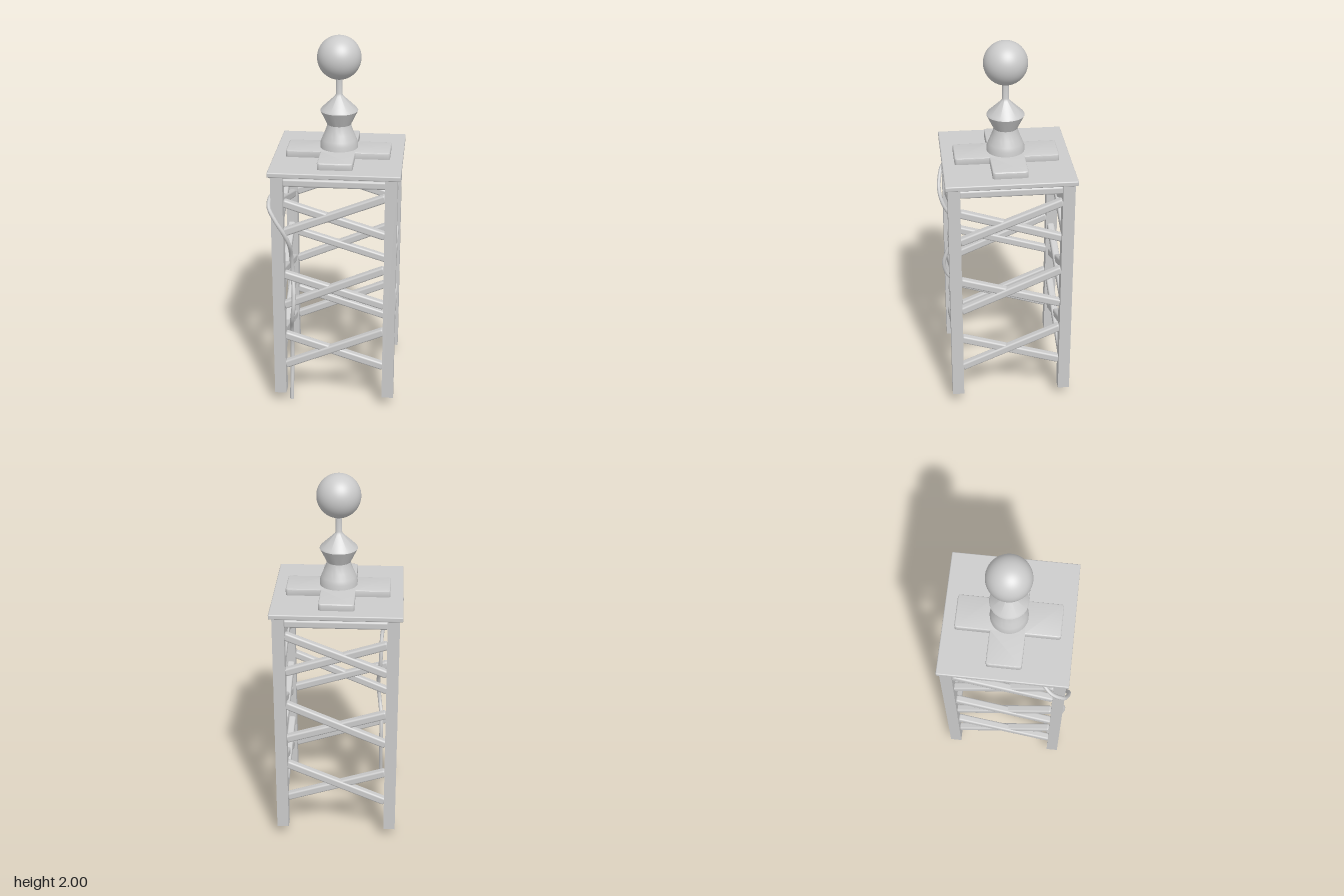
import * as THREE from 'three';
import { RoundedBoxGeometry } from 'three/addons/geometries/RoundedBoxGeometry.js';
import { toCreasedNormals } from 'three/addons/utils/BufferGeometryUtils.js';

const material = new THREE.MeshStandardMaterial({ color: 0xcccccc });
const LEG = 0.295; // distance of the leg axes from the tower axis

function add(parent, name, geometry, x = 0, y = 0, z = 0) {
  const mesh = new THREE.Mesh(geometry, material);
  mesh.name = name;
  mesh.position.set(x, y, z);
  parent.add(mesh);
  return mesh;
}

// Bar in the XY plane running between two heights at the legs
function bar(parent, name, yLeft, yRight, z, depth = 0.04, thick = 0.043) {
  const half = 0.268;
  const rise = yRight - yLeft;
  const geometry = new RoundedBoxGeometry(Math.hypot(2 * half, rise), thick, depth, 2, 0.01);
  add(parent, name, geometry, 0, (yLeft + yRight) / 2, z).rotation.z = Math.atan2(rise, 2 * half);
}

// One side of the tower: three crossed pairs and a top rail
function braceSide(name, outward) {
  const side = new THREE.Group();
  side.name = name;
  const tiers = [[0.23, 0.458, 0.41, 0.24], [0.595, 0.825, 0.775, 0.61], [1.02, 1.232, 1.185, 1.015]];
  for (const [a, b, c, d] of tiers) {
    bar(side, 'risingBrace', a, b, outward * (LEG + 0.002));
    bar(side, 'fallingBrace', c, d, outward * (LEG - 0.006));
  }
  bar(side, 'topRail', 1.3, 1.3, outward * (LEG - 0.003), 0.04, 0.042);
  return side;
}

// Plus-shaped pad with filleted inner and rounded outer corners
function crossGeometry() {
  const bevel = 0.006, w = 0.092 - bevel, l = 0.275 - bevel, r = 0.01;
  const s = new THREE.Shape();
  s.moveTo(w + r, -w);
  for (let i = 0; i < 4; i++) {
    const c = Math.round(Math.cos(i * Math.PI / 2)), n = Math.round(Math.sin(i * Math.PI / 2));
    const p = (x, y) => [x * c - y * n, x * n + y * c];
    s.lineTo(...p(l - r, -w));
    s.quadraticCurveTo(...p(l, -w), ...p(l, -w + r));
    s.lineTo(...p(l, w - r));
    s.quadraticCurveTo(...p(l, w), ...p(l - r, w));
    s.lineTo(...p(w + r, w));
    s.quadraticCurveTo(...p(w, w), ...p(w, w + r));
  }
  const geometry = new THREE.ExtrudeGeometry(s, {
    depth: 0.034, bevelEnabled: true, bevelThickness: bevel, bevelSize: bevel, bevelSegments: 3, curveSegments: 4,
  });
  return toCreasedNormals(geometry.rotateX(-Math.PI / 2), 0.6);
}

export function createModel() {
  const model = new THREE.Group();
  model.name = 'tower';
  const tower = new THREE.Group();
  tower.name = 'towerBody';
  tower.position.set(0.003, 0, -0.008);
  model.add(tower);

  // Four square legs
  for (const x of [-LEG, LEG]) {
    for (const z of [-LEG, LEG]) add(tower, 'leg', new THREE.BoxGeometry(0.063, 1.285, 0.063), x, 0.7025, z);
  }

  // Bracing: opposite sides carry the same pattern
  for (const outward of [1, -1]) {
    tower.add(braceSide(outward > 0 ? 'frontBracing' : 'backBracing', outward));
    const side = braceSide(outward > 0 ? 'leftBracing' : 'rightBracing', outward);
    side.rotation.y = Math.PI / 2;
    tower.add(side);
  }

  // Platform and cross-shaped pad
  add(tower, 'platform', new RoundedBoxGeometry(0.685, 0.027, 0.68, 3, 0.006), 0, 1.3505, 0);
  add(tower, 'crossPad', crossGeometry(), 0, 1.36, 0);

  // Turned pedestal with a thin neck
  const profile = [[0, 1.37], [0.1, 1.37], [0.1, 1.425], [0.092, 1.446], [0.078, 1.48], [0.067, 1.508], [0.063, 1.527],
    [0.1, 1.602], [0.094, 1.612], [0.022, 1.68], [0.017, 1.69], [0.017, 1.79]].map(([r, y]) => new THREE.Vector2(r, y));
  add(tower, 'pedestal', toCreasedNormals(new THREE.LatheGeometry(profile, 48), 0.5));
  add(tower, 'ball', new THREE.SphereGeometry(0.115, 48, 32), 0, 1.885, 0);

  // Cable winding round the front leg and in under the platform
  const path = [[-0.235, 0, 0.278], [-0.235, 0.09, 0.263], [-0.234, 0.2, 0.242], [-0.234, 0.33, 0.232], [-0.232, 0.44, 0.262],
    [-0.222, 0.52, 0.312], [-0.213, 0.59, 0.326], [-0.212, 0.66, 0.308], [-0.222, 0.77, 0.262], [-0.226, 0.87, 0.272],
    [-0.23, 0.96, 0.318], [-0.255, 1.03, 0.338], [-0.298, 1.1, 0.334], [-0.334, 1.165, 0.31], [-0.331, 1.205, 0.25],
    [-0.28, 1.24, 0.19], [-0.2, 1.268, 0.125], [-0.1, 1.295, 0.06], [-0.045, 1.318, 0.02], [-0.03, 1.345, 0]]
    .map((p) => new THREE.Vector3(...p));
  add(model, 'cable', new THREE.TubeGeometry(new THREE.CatmullRomCurve3(path), 160, 0.011, 10));
  const end = add(model, 'cableEnd', new THREE.CircleGeometry(0.011, 10), -0.235, 0, 0.278);
  end.rotation.x = Math.PI / 2;

  return model;
}
